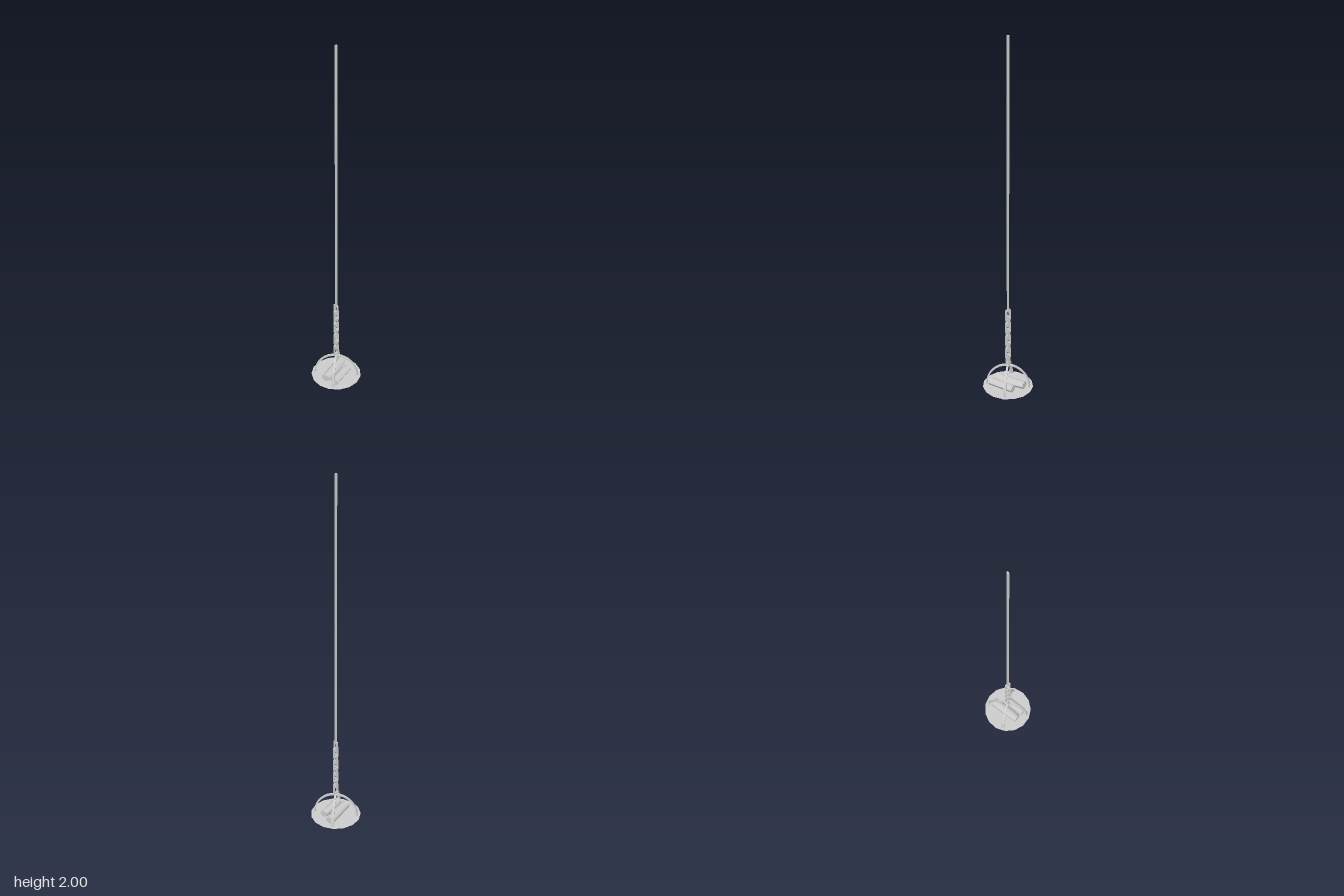
import * as THREE from 'three';

export function createModel() {
  const model = new THREE.Group();
  const smooth = new THREE.MeshStandardMaterial({ color: 0xcccccc, side: THREE.DoubleSide });
  const flat = new THREE.MeshStandardMaterial({ color: 0xcccccc, flatShading: true, side: THREE.DoubleSide });
  const add = (name, geometry, material = flat) => {
    const mesh = new THREE.Mesh(geometry, material);
    mesh.name = name;
    model.add(mesh);
    return mesh;
  };

  // Long suspension rod
  add('rod', new THREE.BoxGeometry(0.011, 1.49, 0.008)).position.y = 1.255;

  // Chain of rectangular links, alternately turned
  const rect = (target, w, h, c) => {
    const pts = [[w - c, -h], [w, c - h], [w, h - c], [w - c, h], [c - w, h], [-w, h - c], [-w, c - h], [c - w, -h]];
    return target.setFromPoints(pts.map(([x, y]) => new THREE.Vector2(x, y)));
  };
  const linkShape = rect(new THREE.Shape(), 0.016, 0.033, 0.003);
  linkShape.holes.push(rect(new THREE.Path(), 0.008, 0.023, 0.001));
  const linkGeometry = new THREE.ExtrudeGeometry(linkShape, { depth: 0.009, bevelEnabled: false });
  linkGeometry.translate(0, 0, -0.0045);
  for (let i = 0; i < 8; i++) {
    const link = add('chainLink', linkGeometry);
    link.position.y = 0.491 - i * 0.0398;
    link.rotation.y = i % 2 ? 0 : Math.PI / 2;
  }

  // Two crossing arched straps, flared at their feet
  const arch = new THREE.Shape();
  const n = 16;
  for (const [r, h, dir] of [[0.123, 0.136, 1], [0.115, 0.127, -1]]) {
    for (let i = 0; i <= n; i++) {
      const a = Math.PI * (dir > 0 ? i : n - i) / n;
      const x = r * Math.cos(a), y = 0.044 + h * Math.sin(a);
      if (dir > 0 && i === 0) arch.moveTo(x, y);
      else arch.lineTo(x, y);
    }
  }
  const strapGeometry = new THREE.ExtrudeGeometry(arch, { depth: 1, bevelEnabled: false });
  const pos = strapGeometry.attributes.position;
  for (let i = 0; i < pos.count; i++) {
    const flare = THREE.MathUtils.smoothstep(0.11 - pos.getY(i), 0, 0.05);
    pos.setZ(i, (pos.getZ(i) - 0.5) * (0.011 + 0.009 * flare));
  }
  strapGeometry.computeVertexNormals();
  for (const s of [-1, 1]) add('strap', strapGeometry).rotation.y = s * Math.PI / 4;

  // Flat fifteen-sided rim plate
  const plate = new THREE.CircleGeometry(0.14, 15);
  plate.rotateX(-Math.PI / 2);
  add('plate', plate).position.y = 0.042;

  // Shallow round bowl under the plate
  const bowl = [];
  for (let i = 0; i <= 8; i++) {
    const a = (i / 8) * Math.PI / 2;
    bowl.push(new THREE.Vector2(0.103 * Math.sin(a), 0.041 * (1 - Math.cos(a))));
  }
  add('bowl', new THREE.LatheGeometry(bowl, 24), smooth);

  // Two slightly bent logs lying on the plate
  const addLog = (x, z, length, radius, angle, bend) => {
    const geometry = new THREE.CylinderGeometry(radius, radius, length, 9, 4, false);
    geometry.rotateZ(Math.PI / 2);
    const p = geometry.attributes.position;
    for (let i = 0; i < p.count; i++) {
      const t = p.getX(i) / (length / 2);
      p.setXYZ(i, p.getX(i), p.getY(i) * 0.75, p.getZ(i) * (1 - 0.1 * t * t) + bend * (1 - t * t));
    }
    geometry.computeVertexNormals();
    const log = add('log', geometry, smooth);
    log.position.set(x, 0.041 + radius * 0.75, z);
    log.rotation.y = angle;
  };
  addLog(-0.003, -0.018, 0.181, 0.028, 0.4, 0.002);
  addLog(0.001, 0.044, 0.148, 0.025, 0.37, -0.002);

  return model;
}
